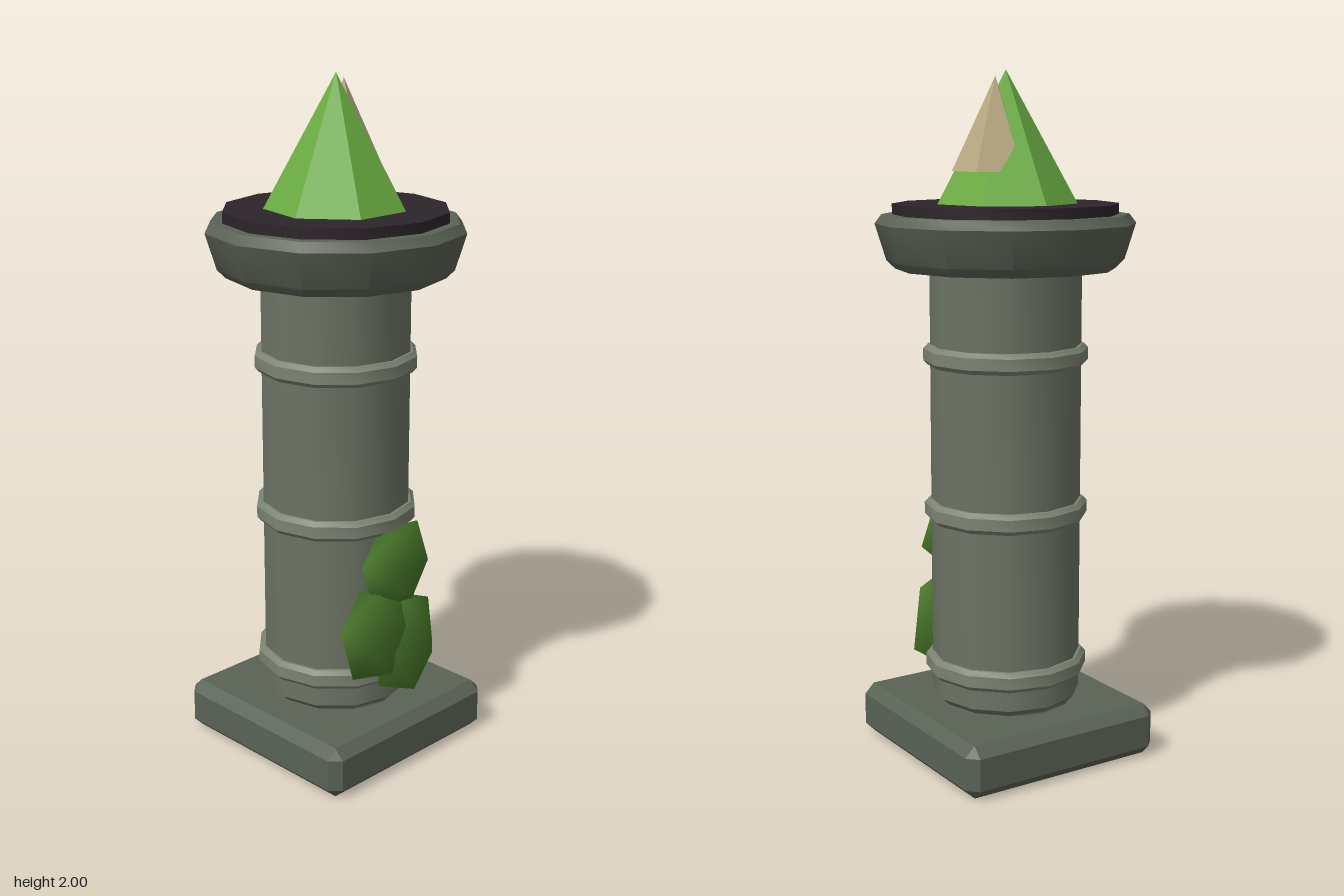
import * as THREE from 'three';
import { toCreasedNormals, mergeVertices } from 'three/addons/utils/BufferGeometryUtils.js';
import { ConvexGeometry } from 'three/addons/geometries/ConvexGeometry.js';

const mat = (color, flatShading = false) => new THREE.MeshStandardMaterial({ color, flatShading });

export function createModel() {
  const group = new THREE.Group();
  const stone = mat(0x5a6255);
  const shaftStone = mat(0x6c7464);
  const ringStone = mat(0x7c8473);
  const soil = mat(0x2c242a);
  const green = mat(0x6aac40, true);
  const tan = mat(0xb9aa82, true);
  const leaf = mat(0x4a7a2c);

  const add = (name, geometry, material) => {
    const mesh = new THREE.Mesh(geometry, material);
    mesh.name = name;
    group.add(mesh);
    return mesh;
  };

  // Twelve-sided turned part: smooth around, crisp along the profile
  const turned = (name, profile, material) => {
    const points = profile.map(([r, y]) => new THREE.Vector2(r, y));
    return add(name, toCreasedNormals(new THREE.LatheGeometry(points, 12), 0.6), material);
  };

  // Square plinth with every edge and corner chamfered
  const half = [0.325, 0.0775, 0.325];
  const corners = [];
  for (const sx of [-1, 1]) for (const sy of [-1, 1]) for (const sz of [-1, 1]) {
    for (let face = 0; face < 3; face++) {
      const [x, y, z] = half.map((h, i) => (i === face ? h : h - 0.03));
      corners.push(new THREE.Vector3(sx * x, sy * y + half[1], sz * z));
    }
  }
  add('plinth', new ConvexGeometry(corners), stone);

  // Column shaft with a chamfered foot
  turned('shaft', [[0, 0.15], [0.2, 0.15], [0.2, 0.16], [0.22, 0.18], [0.22, 1.46], [0, 1.46]], shaftStone);

  // Raised bands
  for (const y of [0.27, 0.738, 1.195]) {
    turned('band', [
      [0.21, y - 0.03], [0.228, y - 0.03], [0.24, y - 0.017],
      [0.24, y + 0.017], [0.228, y + 0.03], [0.21, y + 0.03],
    ], ringStone);
  }

  // Flared capital and the dark bed on top
  turned('capital', [[0, 1.443], [0.318, 1.443], [0.343, 1.468], [0.375, 1.572], [0.355, 1.598], [0, 1.598]], stone);
  turned('bed', [[0, 1.59], [0.325, 1.59], [0.325, 1.628], [0, 1.628]], soil);

  // Large seven-sided spike
  const spike = add('greenSpike', new THREE.ConeGeometry(0.205, 0.372, 7), green);
  spike.position.y = 1.814;
  spike.rotation.y = Math.PI;

  // Smaller five-sided spike, its tip leaning inward
  const small = new THREE.ConeGeometry(0.11, 0.262, 5, 1, false, THREE.MathUtils.degToRad(54));
  const p = small.attributes.position;
  for (let i = 0; i < p.count; i++) {
    if (p.getY(i) > 0) p.setXYZ(i, -0.021, p.getY(i), 0.01);
  }
  add('tanSpike', small, tan).position.set(0.066, 1.851, -0.025);

  // Moss clumps: flattened, softly shaded lumps on the front of the shaft
  const lump = new THREE.IcosahedronGeometry(1, 0);
  lump.deleteAttribute('uv');
  lump.deleteAttribute('normal');
  const smoothLump = mergeVertices(lump);
  smoothLump.rotateZ(Math.PI / 2);
  smoothLump.computeVertexNormals();
  const clumps = [
    [0.015, 0.61, 0.232, 0.145, 0.14, 0.35],
    [-0.065, 0.415, 0.23, 0.145, 0.165, 0.28],
    [0.06, 0.345, 0.226, 0.14, 0.185, 0.12],
  ];
  for (const [x, y, z, w, h, turn] of clumps) {
    const moss = add('mossClump', smoothLump, leaf);
    moss.position.set(x, y, z);
    moss.scale.set(w, h, 0.056);
    moss.rotation.z = turn;
  }

  return group;
}
